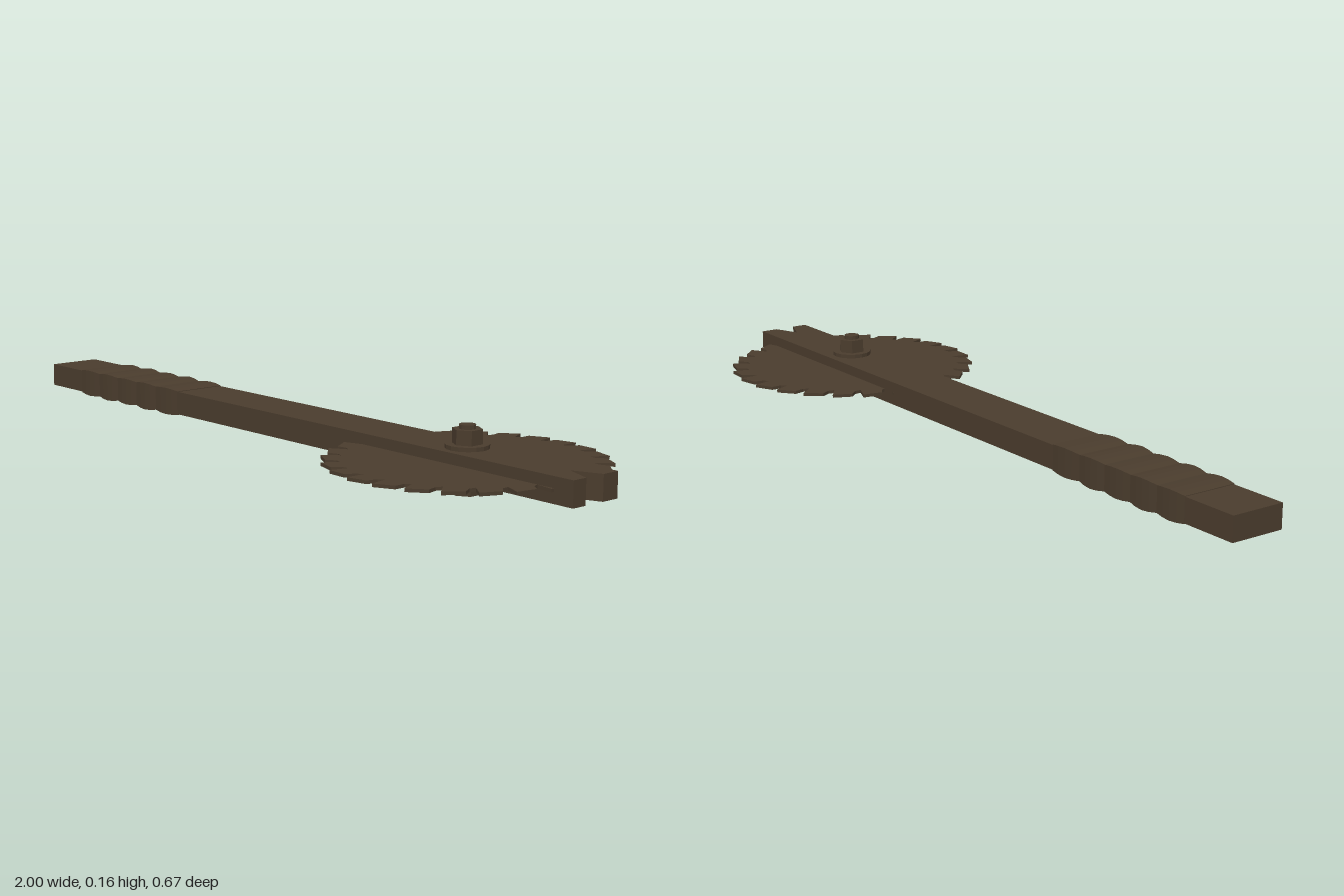
import * as THREE from 'three';

const darkBrown = new THREE.MeshStandardMaterial({ color: 0x4a3c2d });
darkBrown.name = 'dark brown';

const MID_Y = 0.0765; // centre height of bar and blade
const MID_Z = -0.003;
const HUB_X = 0.62;

// Extrudes an outline of [x, z] points upwards from height y
function slab(name, points, y, depth) {
  const shape = new THREE.Shape(points.map(([x, z]) => new THREE.Vector2(x, -z)));
  const geo = new THREE.ExtrudeGeometry(shape, { depth, bevelEnabled: false });
  geo.rotateX(-Math.PI / 2);
  geo.translate(0, y, 0);
  const mesh = new THREE.Mesh(geo, darkBrown);
  mesh.name = name;
  return mesh;
}

// Vertical cylinder on the axle
function axlePart(name, radius, y0, y1, sides) {
  const geo = new THREE.CylinderGeometry(radius, radius, y1 - y0, sides).toNonIndexed();
  geo.computeVertexNormals();
  const mesh = new THREE.Mesh(geo, darkBrown);
  mesh.name = name;
  mesh.position.set(HUB_X, (y0 + y1) / 2, -0.002);
  return mesh;
}

// One wrap of the grip: a rectangular sleeve swelling towards its middle
function gripWrap(x0, x1, swell) {
  const steps = 4;
  const geo = new THREE.BoxGeometry(x1 - x0, 0.062, 0.143, steps, 1, 1);
  const pos = geo.attributes.position;
  for (let i = 0; i < pos.count; i++) {
    const t = pos.getX(i) / (x1 - x0) + 0.5;
    const grow = 0.001 + swell * Math.sin(Math.PI * t);
    pos.setY(i, pos.getY(i) + Math.sign(pos.getY(i)) * grow);
    pos.setZ(i, pos.getZ(i) + Math.sign(pos.getZ(i)) * grow);
  }
  const flat = geo.toNonIndexed();
  flat.computeVertexNormals();
  const mesh = new THREE.Mesh(flat, darkBrown);
  mesh.name = 'gripWrap';
  mesh.position.set((x0 + x1) / 2, MID_Y, MID_Z);
  return mesh;
}

export function createModel() {
  const model = new THREE.Group();
  model.name = 'sawBladeClub';

  // Long bar with a V notch in its far end
  model.add(slab('handle', [
    [-1, 0.068], [1, 0.068], [1, 0.028], [0.93, 0],
    [1, -0.028], [1, -0.075], [-1, -0.075],
  ], 0.046, 0.061));

  // Wrapped grip
  const grip = new THREE.Group();
  grip.name = 'grip';
  const edges = [-0.85, -0.76, -0.67, -0.58, -0.49, -0.39];
  const swells = [0.004, 0.005, 0.004, 0.005, 0.004];
  swells.forEach((s, i) => grip.add(gripWrap(edges[i], edges[i + 1], s)));
  model.add(grip);

  // Circular blade with hooked teeth
  const teeth = 26;
  const profile = [[0, 0.288], [0.2, 0.297], [0.3, 0.323], [0.95, 0.335]];
  const outline = [];
  for (let i = 0; i < teeth; i++) {
    for (const [t, r] of profile) {
      const a = ((i + t) / teeth) * Math.PI * 2;
      outline.push([HUB_X + r * Math.cos(a), r * Math.sin(a)]);
    }
  }
  model.add(slab('sawBlade', outline, 0.0725, 0.008));

  // Bolt, nut and washers
  model.add(
    axlePart('upperWasher', 0.052, 0.106, 0.117, 16),
    axlePart('lowerWasher', 0.052, 0.036, 0.047, 16),
    axlePart('nut', 0.036, 0.116, 0.152, 6),
    axlePart('boltHead', 0.036, 0, 0.037, 6),
    axlePart('boltTip', 0.02, 0.15, 0.162, 12),
  );
  return model;
}
